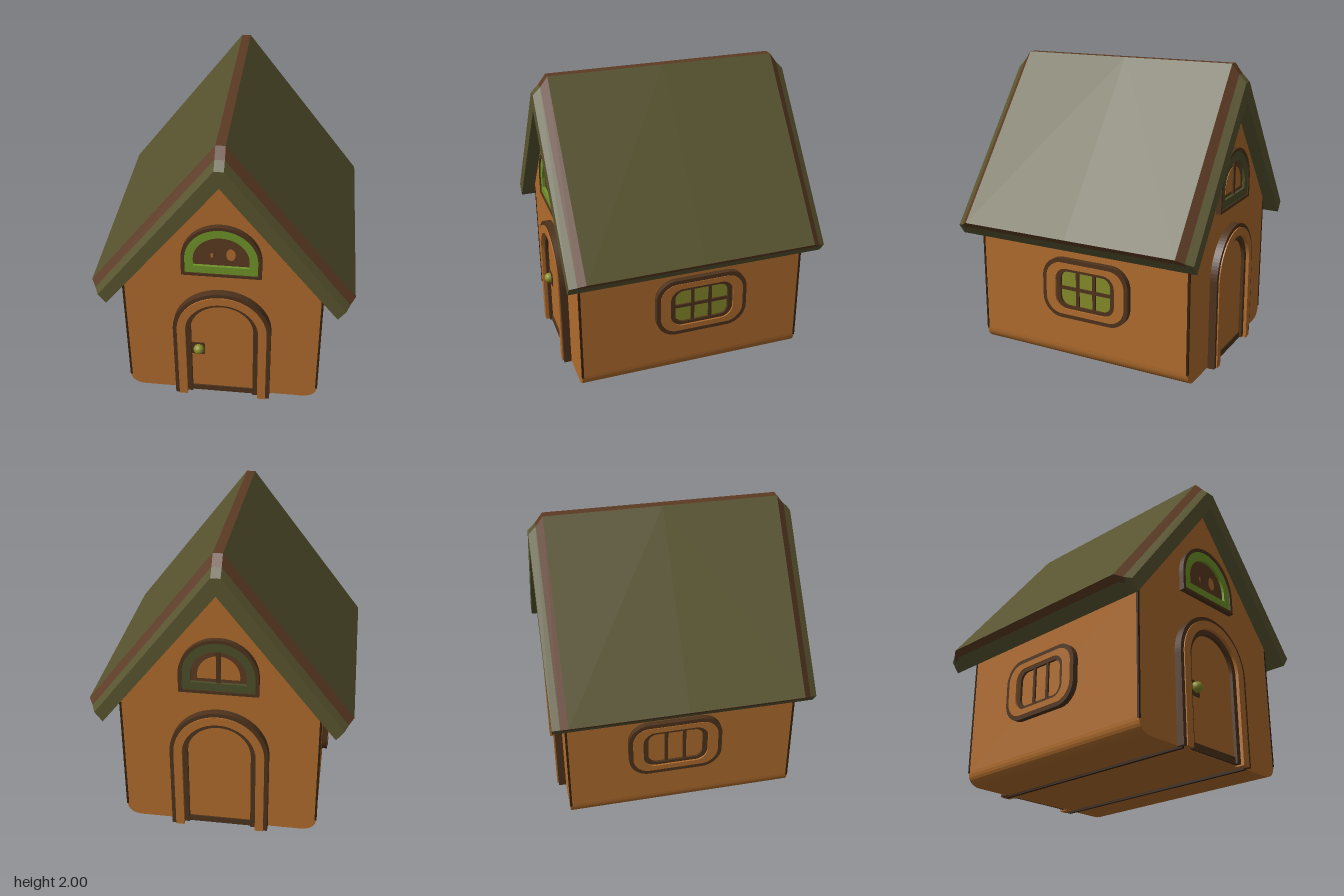
import * as THREE from 'three';

const mat = (name, color, side = THREE.FrontSide) => {
  const m = new THREE.MeshStandardMaterial({ color, side });
  m.name = name;
  return m;
};

export function createModel() {
  const house = new THREE.Group();
  house.name = 'house';
  const orange = mat('orange plaster', 0xb06c2d);
  const moss = mat('moss roof', 0x58542f, THREE.DoubleSide);
  const brown = mat('brown trim', 0x5c3a22, THREE.DoubleSide);
  const dark = mat('dark timber', 0x4e331c);
  const line = mat('dark edge', 0x35220f);
  const lime = mat('lime frame', 0x6f9428);
  const olive = mat('olive glass', 0x858a28);
  const deepGreen = mat('deep green frame', 0x4c4f29);

  const add = (parent, name, geo, material, x = 0, y = 0, z = 0) => {
    const m = new THREE.Mesh(geo, material);
    m.name = name;
    m.position.set(x, y, z);
    parent.add(m);
    return m;
  };
  const box = (parent, name, material, w, h, d, x, y, z) =>
    add(parent, name, new THREE.BoxGeometry(w, h, d), material, x, y, z);
  // flat shape pushed out of a wall by the given height
  const relief = (parent, name, shape, material, height, x = 0, y = 0) =>
    add(parent, name, new THREE.ExtrudeGeometry(shape, { depth: height + 0.01, bevelEnabled: false, curveSegments: 20 }),
      material, x, y, -0.01);

  // walls: gabled section with rounded bottom corners
  const s = new THREE.Shape();
  s.moveTo(-0.55, 0.015);
  s.lineTo(0.55, 0.015);
  s.quadraticCurveTo(0.65, 0.02, 0.65, 0.11);
  s.lineTo(0.65, 0.96);
  s.lineTo(0, 1.79);
  s.lineTo(-0.65, 0.96);
  s.lineTo(-0.65, 0.11);
  s.quadraticCurveTo(-0.65, 0.02, -0.55, 0.015);
  add(house, 'walls', new THREE.ExtrudeGeometry(s, { depth: 1.56, bevelEnabled: false, curveSegments: 8 }), orange, 0, 0, -0.78);
  for (const x of [-1, 1]) {
    for (const z of [-1, 1])
      box(house, 'cornerEdge', line, 0.014, 0.83, 0.014, x * 0.646, 0.515, z * 0.776);
    box(house, 'floorSeam', line, 0.02, 0.02, 1.6, x * 0.3, 0.01, 0);
  }

  // roof: one quarter described, then mirrored across x and z
  const faces = { moss: [], brown: [] };
  const quad = (list, a, b, c, d) => {
    for (const sx of [1, -1]) for (const sz of [1, -1]) {
      const q = sx * sz > 0 ? [a, b, c, a, c, d] : [c, b, a, d, c, a];
      for (const p of q) list.push(p[0] * sx, p[1], p[2] * sz);
    }
  };
  const section = (z, off) => {
    const E = [0.85 - 0.79 * off, 0.94 - 0.61 * off, z], B = [0.745, 0.83, z];
    return {
      C: [0, 2 - 1.64 * off, z], R: [0.03, 2 - 1.64 * off, z], E, B,
      M: E.map((v, i) => v + (B[i] - v) * 0.35), I: [0, 1.77, z],
    };
  };
  const rings = [section(0, 0), section(0.77, 0), section(0.82, 0.04), section(0.87, 0.07)];
  for (let i = 0; i < 3; i++) {
    const p = rings[i], n = rings[i + 1];
    const strip = (list, a, b) => quad(list, p[a], n[a], n[b], p[b]);
    strip(i === 1 ? faces.brown : faces.moss, 'R', 'E');
    strip(i === 2 ? faces.moss : faces.brown, 'C', 'R');
    strip(i === 2 ? faces.moss : faces.brown, 'E', 'M');
    strip(faces.moss, 'M', 'B');
    strip(faces.moss, 'B', 'I');
  }
  const end = rings[3];
  quad(faces.moss, end.R, end.I, end.B, end.E);
  quad(faces.moss, end.C, end.I, end.R, end.R);
  for (const [name, list, material] of [['roof', faces.moss, moss], ['roofTrim', faces.brown, brown]]) {
    const g = new THREE.BufferGeometry();
    g.setAttribute('position', new THREE.Float32BufferAttribute(list, 3));
    g.computeVertexNormals();
    add(house, name, g, material);
  }

  // door surround: upside-down U between two radii
  const uShape = (ro, ri, y0, yc) => {
    const u = new THREE.Shape();
    u.moveTo(ro, y0);
    u.lineTo(ro, yc);
    u.absarc(0, yc, ro, 0, Math.PI, false);
    u.lineTo(-ro, y0);
    u.lineTo(-ri, y0);
    u.lineTo(-ri, yc);
    u.absarc(0, yc, ri, Math.PI, 0, true);
    u.lineTo(ri, y0);
    return u;
  };
  // arched panel of half width w
  const arch = (w, y0, yc, rise) => {
    const a = new THREE.Shape();
    a.moveTo(-w, y0);
    a.lineTo(w, y0);
    a.lineTo(w, yc);
    a.absellipse(0, yc, w, rise, 0, Math.PI, false);
    a.lineTo(-w, y0);
    return a;
  };
  const withHole = (outer, inner) => {
    outer.holes.push(inner);
    return outer;
  };

  // gable ends, each with a door and a half-round window
  for (const front of [true, false]) {
    const g = new THREE.Group();
    g.name = front ? 'frontGable' : 'backGable';
    g.position.z = front ? 0.78 : -0.78;
    g.rotation.y = front ? 0 : Math.PI;
    house.add(g);
    relief(g, 'doorFrameOuter', uShape(0.325, 0.298, 0.01, 0.605), dark, 0.05);
    relief(g, 'doorFrame', uShape(0.298, 0.242, 0.01, 0.605), orange, 0.058);
    relief(g, 'doorFrameInner', uShape(0.242, 0.208, 0.02, 0.605), dark, 0.035);
    relief(g, 'door', arch(0.21, 0.06, 0.605, 0.21), orange, 0.012);
    box(g, 'threshold', dark, 0.42, 0.045, 0.03, 0, 0.04, 0.005);

    const frame = front ? lime : deepGreen;
    relief(g, 'gableWindowRim', withHole(arch(0.255, 1.065, 1.19, 0.26), arch(0.232, 1.085, 1.19, 0.238)), dark, 0.035);
    relief(g, 'gableWindowFrame', withHole(arch(0.232, 1.085, 1.19, 0.238), arch(0.178, 1.14, 1.19, 0.175)), frame, 0.028);
    relief(g, 'gableWindowPane', arch(0.18, 1.138, 1.19, 0.178), brown, 0.01);
    if (front) {
      const blob = (w, h, x, y) => {
        const m = add(g, 'paneGlint', new THREE.CircleGeometry(1, 16), orange, x, y, 0.014);
        m.scale.set(w, h, 1);
      };
      blob(0.03, 0.046, 0.06, 1.23);
      blob(0.008, 0.02, -0.06, 1.22);
      box(g, 'knobPlate', dark, 0.09, 0.1, 0.01, -0.165, 0.415, 0.014);
      add(g, 'doorKnob', new THREE.SphereGeometry(0.036, 16, 12), olive, -0.158, 0.42, 0.03);
    } else {
      relief(g, 'gableWindowGlass', arch(0.135, 1.165, 1.19, 0.135), orange, 0.014);
      box(g, 'gableWindowBar', dark, 0.03, 0.22, 0.02, 0, 1.25, 0.012);
    }
  }

  // side windows: nested rounded frames with a pane grid
  const rounded = (w, h, r) => {
    const p = new THREE.Shape();
    p.absarc(w - r, h - r, r, 0, Math.PI / 2);
    p.absarc(r - w, h - r, r, Math.PI / 2, Math.PI);
    p.absarc(r - w, r - h, r, Math.PI, Math.PI * 1.5);
    p.absarc(w - r, r - h, r, Math.PI * 1.5, Math.PI * 2);
    p.closePath();
    return p;
  };
  for (const side of [1, -1]) {
    const g = new THREE.Group();
    g.name = side > 0 ? 'leftWindow' : 'rightWindow';
    g.position.set(side * 0.65, 0.54, -0.05);
    g.rotation.y = side * Math.PI / 2;
    house.add(g);
    relief(g, 'windowRim', withHole(rounded(0.32, 0.208, 0.14), rounded(0.292, 0.18, 0.115)), dark, 0.038);
    relief(g, 'windowFrame', withHole(rounded(0.292, 0.18, 0.115), rounded(0.222, 0.142, 0.085)), orange, 0.042);
    relief(g, 'windowInnerRim', withHole(rounded(0.222, 0.142, 0.085), rounded(0.188, 0.12, 0.06)), dark, 0.03);
    relief(g, 'windowPane', rounded(0.19, 0.122, 0.06), side > 0 ? olive : orange, 0.014);
    for (const x of [-0.062, 0.062])
      box(g, 'windowBar', dark, 0.022, 0.24, 0.02, x, 0, 0.015);
    if (side > 0) box(g, 'windowCrossBar', dark, 0.38, 0.022, 0.02, 0, 0, 0.015);
  }
  return house;
}
